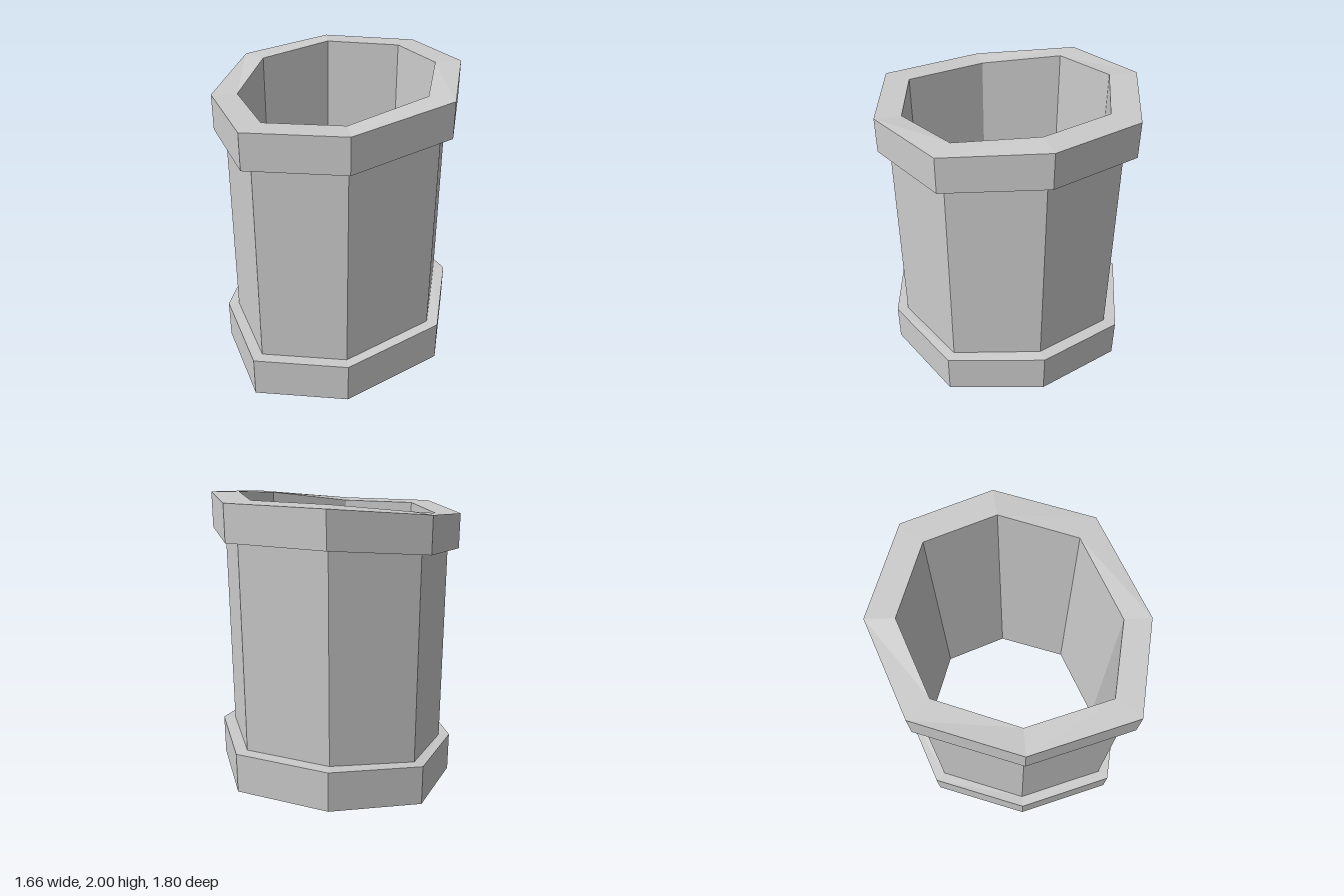
import * as THREE from 'three';

// Slightly irregular octagon corners [x, z, rise], clockwise from the back; rise tilts the model
const OUTER = [
  [0.02, -0.905, 0.14], [0.55, -0.635, 0.14], [0.83, -0.06, 0.08], [0.55, 0.58, 0],
  [0.02, 0.9, 0], [-0.56, 0.54, 0], [-0.835, -0.075, 0.08], [-0.56, -0.64, 0.14],
];
const OUT = 1, SHAFT = 0.905, BORE = 0.79;
const BASE = 0, BAND_LOW = 0.27, BAND_HIGH = 1.63, TOP = 1.86;

const material = new THREE.MeshStandardMaterial({ color: 0xcccccc, flatShading: true });

// One octagonal loop at a given scale and height
const loop = ([scale, y]) => OUTER.map(([x, z, rise]) => [x * scale, y + rise, z * scale]);

// Skin a profile of [scale, height] steps, listed from top to bottom on the outside
function skin(name, profile) {
  const loops = profile.map(loop);
  const positions = [];
  for (let k = 0; k < loops.length - 1; k++) {
    for (let i = 0; i < OUTER.length; i++) {
      const j = (i + 1) % OUTER.length;
      const a = loops[k][i], b = loops[k][j], c = loops[k + 1][j], d = loops[k + 1][i];
      positions.push(...a, ...b, ...c, ...a, ...c, ...d);
    }
  }
  const geometry = new THREE.BufferGeometry();
  geometry.setAttribute('position', new THREE.Float32BufferAttribute(positions, 3));
  geometry.computeVertexNormals();
  const mesh = new THREE.Mesh(geometry, material);
  mesh.name = name;
  return mesh;
}

export function createModel() {
  const model = new THREE.Group();
  model.name = 'slantedOctagonalPipe';
  model.add(
    // Collars at each end, overhanging the shaft
    skin('upperCollar', [[BORE, TOP], [OUT, TOP], [OUT, BAND_HIGH], [SHAFT, BAND_HIGH]]),
    skin('lowerCollar', [[SHAFT, BAND_LOW], [OUT, BAND_LOW], [OUT, BASE], [BORE, BASE]]),
    // Outer wall between the collars
    skin('shaft', [[SHAFT, BAND_HIGH], [SHAFT, BAND_LOW]]),
    // Inner wall, reversed so it faces the hollow
    skin('innerWall', [[BORE, BASE], [BORE, TOP]]),
  );
  return model;
}
